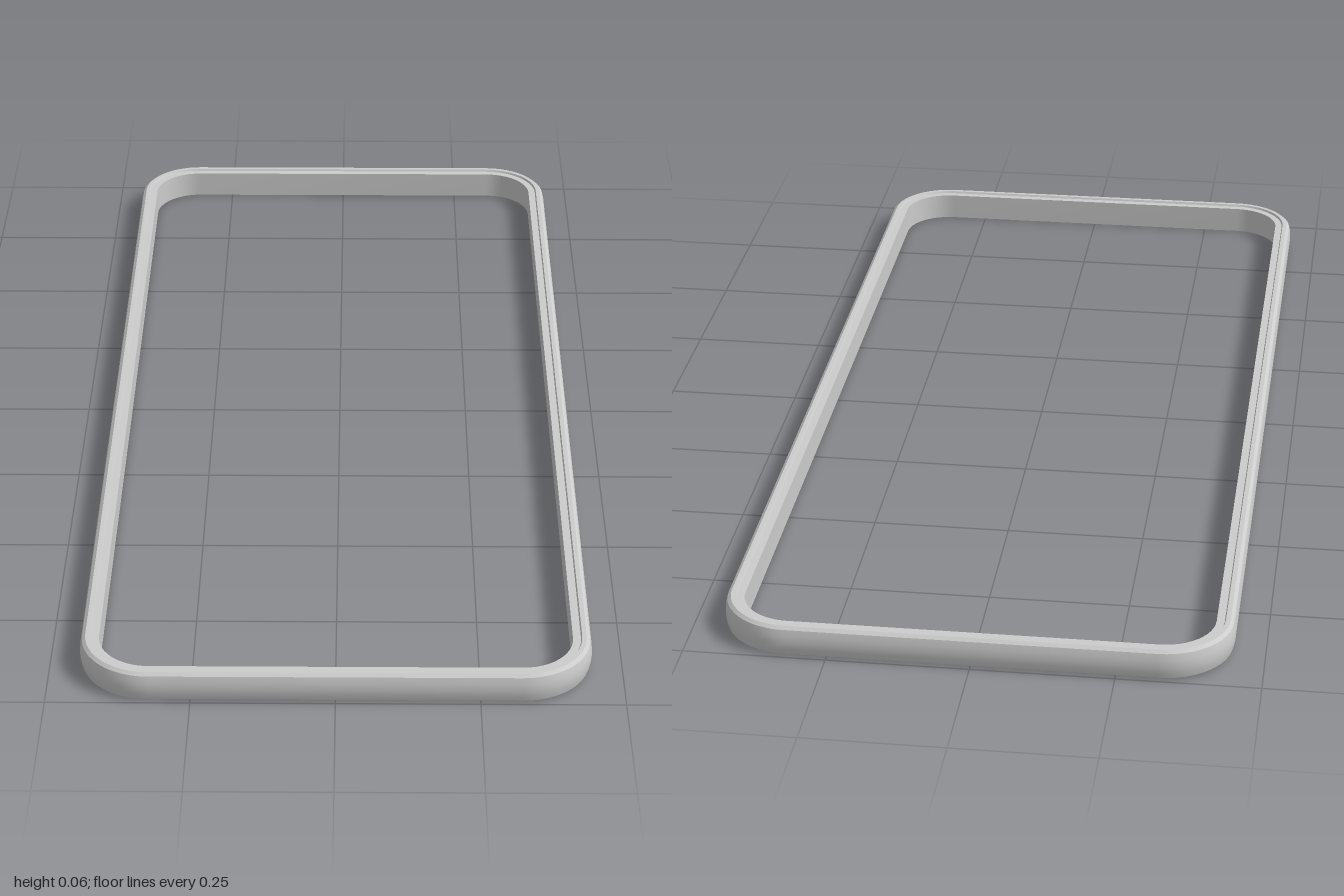
import * as THREE from 'three';
import { toCreasedNormals } from 'three/addons/utils/BufferGeometryUtils.js';

const HALF_WIDTH = 0.447, HALF_LENGTH = 1, RADIUS = 0.125, STEPS = 12;

// Cross-section of the rim: [inset from the outer edge, height],
// with a bulging outer wall and a shallow ledge inside the top lip
const PROFILE = [
  [0.012, 0], [0.004, 0.005], [0.001, 0.016], [0, 0.028], [0.001, 0.041], [0.004, 0.052],
  [0.010, 0.057], [0.018, 0.057], [0.020, 0.053], [0.034, 0.053], [0.034, 0],
];

// Sweeps the cross-section around a rounded rectangle
function sweepRim() {
  const positions = [], index = [];
  const n = PROFILE.length, rings = 4 * (STEPS + 1);
  const corners = [[1, 1], [-1, 1], [-1, -1], [1, -1]];
  corners.forEach(([sx, sz], q) => {
    for (let s = 0; s <= STEPS; s++) {
      const a = (q + s / STEPS) * Math.PI / 2;
      for (const [inset, y] of PROFILE) {
        const r = RADIUS - inset;
        positions.push(
          sx * (HALF_WIDTH - RADIUS) + r * Math.cos(a), y,
          sz * (HALF_LENGTH - RADIUS) + r * Math.sin(a));
      }
    }
  });
  for (let i = 0; i < rings; i++) {
    const k = (i + 1) % rings;
    for (let j = 0; j < n; j++) {
      const m = (j + 1) % n;
      const a = i * n + j, b = i * n + m, c = k * n + j, d = k * n + m;
      index.push(a, b, c, b, d, c);
    }
  }
  const geometry = new THREE.BufferGeometry();
  geometry.setAttribute('position', new THREE.Float32BufferAttribute(positions, 3));
  geometry.setIndex(index);
  return toCreasedNormals(geometry, 0.5);
}

export function createModel() {
  const group = new THREE.Group();
  group.name = 'roundedFrame';
  const metal = new THREE.MeshStandardMaterial({ color: 0xcccccc });
  metal.name = 'light grey metal';
  const rim = new THREE.Mesh(sweepRim(), metal);
  rim.name = 'rim';
  group.add(rim);
  return group;
}
